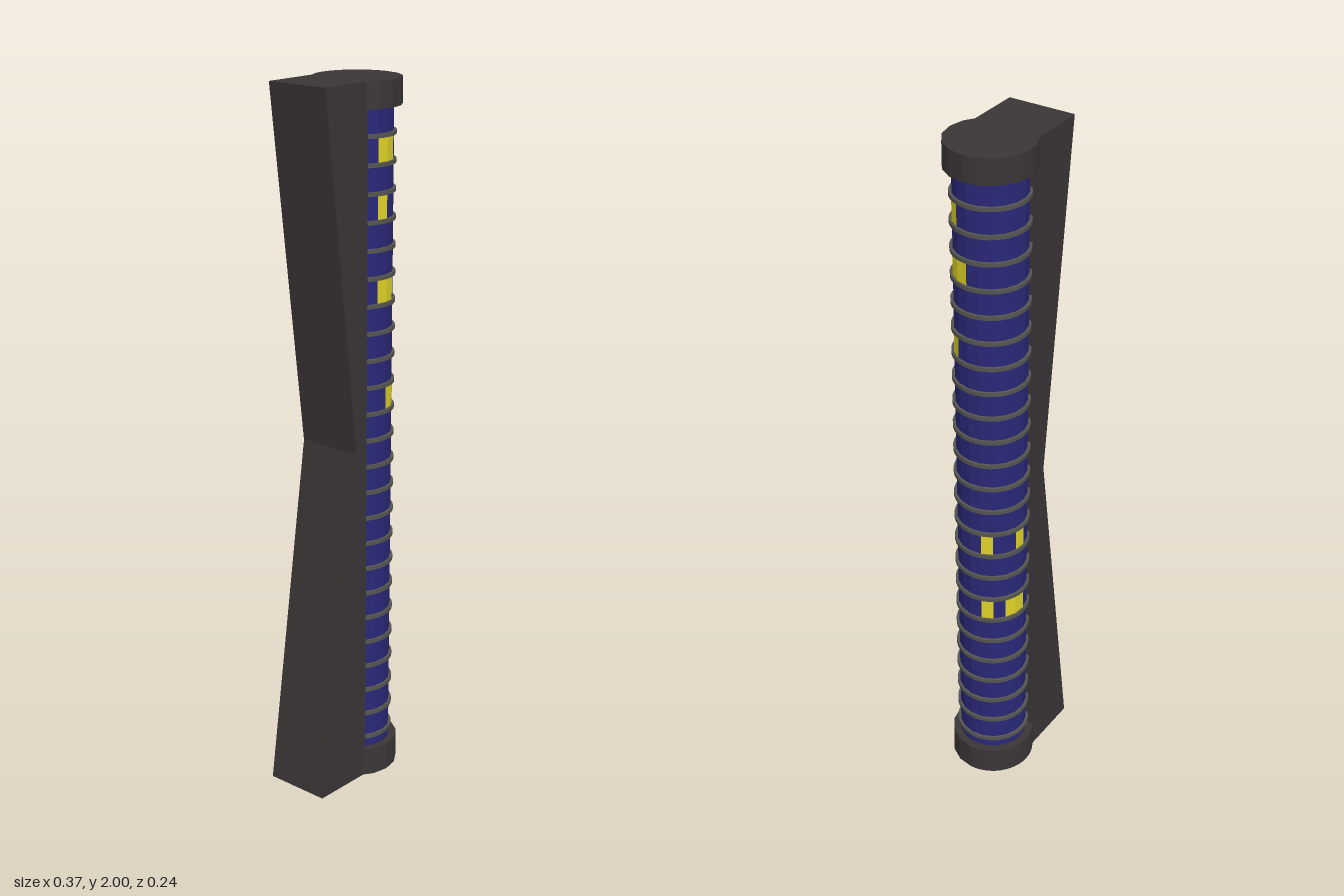
import * as THREE from 'three';

const CX = 0.064;            // column axis
const R = 0.098;             // column radius
const SIDES = 18;
const STEP = (Math.PI * 2) / SIDES;
const PHASE = THREE.MathUtils.degToRad(5);
const FLOOR = 0.0757;        // ring spacing
const FIRST = 0.115;         // lowest ring

const mat = (color, flatShading = false) => {
  const m = new THREE.MeshStandardMaterial({ color });
  m.flatShading = flatShading;
  return m;
};

export function createModel() {
  const group = new THREE.Group();
  const dark = mat(0x3b3637, true);
  const blue = mat(0x2a2878, true);
  const yellow = mat(0xe0d428, true);
  const grey = mat(0x555550);

  const add = (name, geometry, material, x = 0, y = 0, z = 0) => {
    const mesh = new THREE.Mesh(geometry, material);
    mesh.name = name;
    mesh.position.set(x, y, z);
    group.add(mesh);
    return mesh;
  };

  // Spine block, pinched at mid height
  const side = new THREE.Shape([
    [0, 0], [0, 2], [-0.165, 2], [-0.042, 1], [-0.187, 0],
  ].map(([x, y]) => new THREE.Vector2(x, y)));
  add('spine', new THREE.ExtrudeGeometry(side, { depth: 0.193, bevelEnabled: false }),
    dark, 0, 0, -0.1);

  // End caps: coarse facets on the front half, finer on the back half
  const outline = [];
  for (let deg = -90; deg < 90; deg += 22.5) outline.push(deg);
  for (let deg = 90; deg < 270; deg += 7.5) outline.push(deg);
  const capShape = new THREE.Shape(outline.map((deg) => {
    const a = THREE.MathUtils.degToRad(deg);
    return new THREE.Vector2(0.12 * Math.sin(a), -0.12 * Math.cos(a));
  }));
  const cap = (name, y, height) => {
    const g = new THREE.ExtrudeGeometry(capShape, { depth: height, bevelEnabled: false });
    g.rotateX(-Math.PI / 2);
    add(name, g, dark, CX + 0.001, y);
  };
  cap('bottomCap', 0, 0.082);
  cap('topCap', 1.928, 0.072);

  // Faceted column
  add('column', new THREE.CylinderGeometry(R, R, 1.9, SIDES, 1, true, PHASE, Math.PI * 2),
    blue, CX, 1);

  // Floor rings
  const ring = new THREE.CylinderGeometry(0.105, 0.105, 0.011, 36);
  for (let i = 0; i < 24; i++) add('floorRing', ring, grey, CX, FIRST + i * FLOOR);

  // Lit windows: [floor index, column facets counted from the front]
  const windows = [
    [22, [-3, -1, 0, 2]],
    [20, [-1, 2, 3]],
    [17, [-1, 0, 2]],
    [13, [-3, 0, 1]],
    [9, [5, 8]],
    [6, [5, 7, 8]],
  ];
  for (const [floor, facets] of windows) {
    for (const f of facets) {
      const pane = new THREE.CylinderGeometry(R + 0.001, R + 0.001, FLOOR - 0.011, 1, 1, true,
        PHASE + f * STEP, STEP);
      add('litWindow', pane, yellow, CX, FIRST + (floor + 0.5) * FLOOR);
    }
  }
  return group;
}
